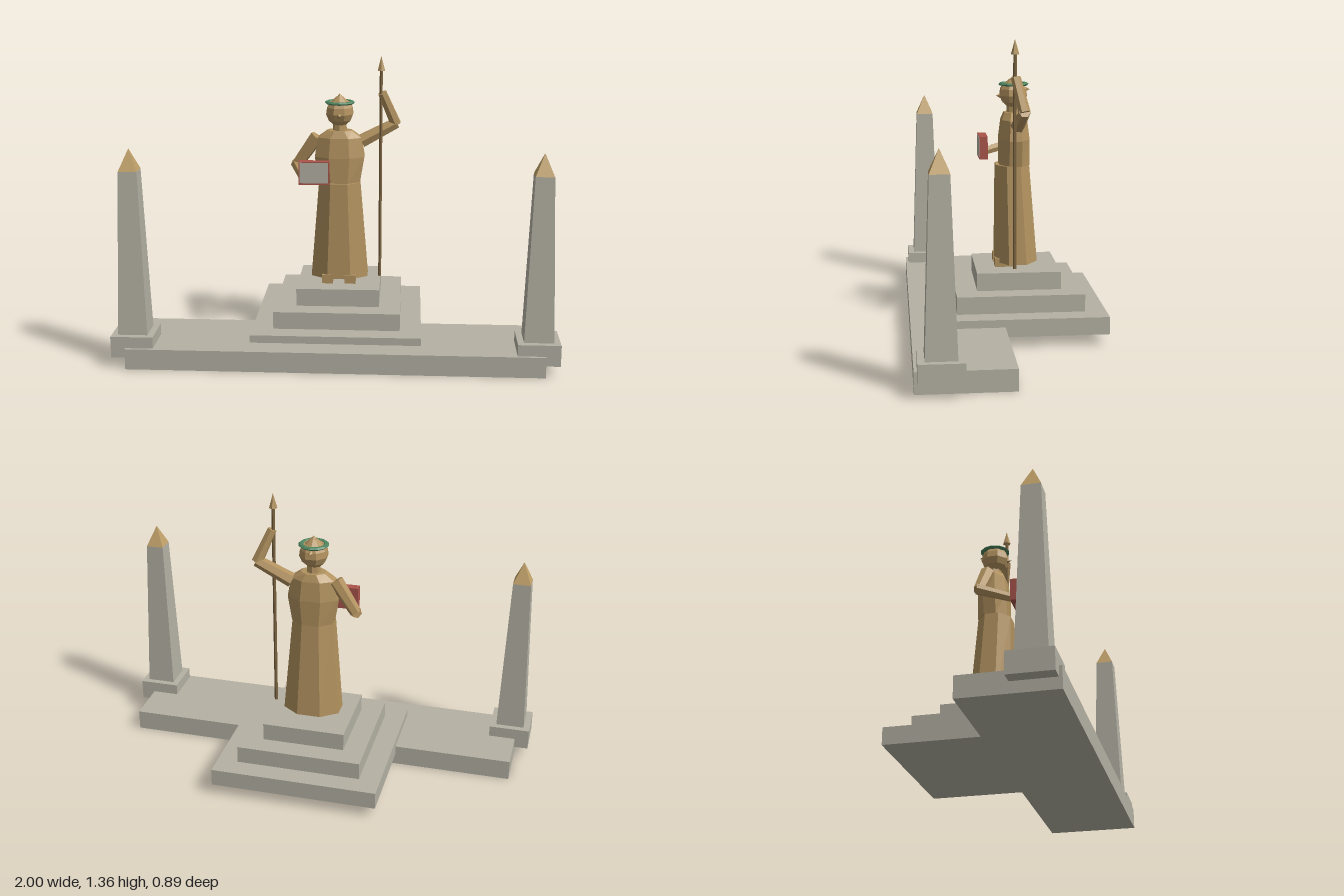
import * as THREE from 'three';

const mat = (name, color) => new THREE.MeshStandardMaterial({ name, color });

export function createModel() {
  const root = new THREE.Group();
  root.name = 'monument';
  const stone = mat('stone', 0xb5b2a4);
  const bronze = mat('bronze', 0xb2925f);
  const darkBronze = mat('dark bronze', 0x7c6440);
  const gold = mat('gold', 0xc0a068);
  const green = mat('patina green', 0x4f8560);
  const red = mat('book red', 0xaa544a);

  const add = (parent, name, geometry, material, x = 0, y = 0, z = 0) => {
    const flat = geometry.index ? geometry.toNonIndexed() : geometry;
    flat.computeVertexNormals();
    const mesh = new THREE.Mesh(flat, material);
    mesh.name = name;
    mesh.position.set(x, y, z);
    parent.add(mesh);
    return mesh;
  };
  // Box given by its bounds
  const box = (parent, name, material, x0, x1, y0, y1, z0, z1) =>
    add(parent, name, new THREE.BoxGeometry(x1 - x0, y1 - y0, z1 - z0), material,
      (x0 + x1) / 2, (y0 + y1) / 2, (z0 + z1) / 2);

  // Octagonal body from rings of [y, half width, half depth, centre z], capped at both ends
  const loft = (rings) => {
    const n = 8, pos = [], idx = [];
    for (const [y, w, d, cz] of rings) {
      for (let i = 0; i < n; i++) {
        const a = (i + 0.5) * Math.PI * 2 / n, k = 1 / Math.cos(Math.PI / n);
        pos.push(Math.sin(a) * w * k, y, cz + Math.cos(a) * d * k);
      }
    }
    for (let r = 0; r < rings.length - 1; r++) {
      for (let i = 0; i < n; i++) {
        const a = r * n + i, b = r * n + (i + 1) % n;
        idx.push(a, b, b + n, a, b + n, a + n);
      }
    }
    const top = (rings.length - 1) * n;
    for (let i = 1; i < n - 1; i++) idx.push(0, i + 1, i, top, top + i, top + i + 1);
    const g = new THREE.BufferGeometry();
    g.setAttribute('position', new THREE.Float32BufferAttribute(pos, 3));
    g.setIndex(idx);
    return g;
  };

  // Six-sided limb between two points
  const limb = (parent, name, from, to, r0, r1) => {
    const a = new THREE.Vector3(...from), b = new THREE.Vector3(...to);
    const dir = b.clone().sub(a);
    const m = add(parent, name, new THREE.CylinderGeometry(r1, r0, dir.length(), 6), bronze);
    m.position.copy(a).add(b).multiplyScalar(0.5);
    m.quaternion.setFromUnitVectors(new THREE.Vector3(0, 1, 0), dir.normalize());
    return m;
  };

  // Plinth and stepped pedestal
  box(root, 'baseSlab', stone, -0.935, 0.935, 0, 0.095, 0.023, 0.443);
  box(root, 'lowerStep', stone, -0.387, 0.387, 0.05, 0.13, -0.445, 0.327);
  box(root, 'middleStep', stone, -0.29, 0.29, 0.13, 0.21, -0.348, 0.233);
  box(root, 'upperStep', stone, -0.192, 0.192, 0.21, 0.292, -0.25, 0.135);

  // Obelisks
  for (const side of [-1, 1]) {
    const ob = new THREE.Group();
    ob.name = side < 0 ? 'rightObelisk' : 'leftObelisk';
    ob.position.set(side * 0.905, 0, 0.333);
    root.add(ob);
    box(ob, 'obeliskBase', stone, -0.095, 0.095, 0.05, 0.147, -0.096, 0.096);
    const half = Math.SQRT1_2;
    const shaft = new THREE.CylinderGeometry(0.083 * half, 0.133 * half, 0.743, 4).rotateY(Math.PI / 4);
    add(ob, 'obeliskShaft', shaft, stone, 0, 0.5185, 0);
    const tip = new THREE.ConeGeometry(0.083 * half, 0.097, 4).rotateY(Math.PI / 4);
    add(ob, 'obeliskTip', tip, gold, 0, 0.9385, 0);
  }

  // Robed figure
  const statue = new THREE.Group();
  statue.name = 'statue';
  root.add(statue);
  add(statue, 'robe', loft([[0.312, 0.132, 0.097, -0.058], [0.767, 0.095, 0.077, -0.042]]), bronze);
  add(statue, 'torso', loft([
    [0.765, 0.095, 0.069, -0.051], [0.885, 0.115, 0.069, -0.051],
    [0.975, 0.1, 0.058, -0.051], [1.008, 0.055, 0.045, -0.051],
  ]), bronze);
  for (const side of [-1, 1]) {
    box(statue, 'foot', bronze, side * 0.053 - 0.025, side * 0.053 + 0.025, 0.292, 0.333, -0.043, 0.043);
  }

  // Head
  add(statue, 'neck', new THREE.CylinderGeometry(0.03, 0.034, 0.06, 8), bronze, 0, 1.02, -0.05);
  add(statue, 'head', loft([
    [1.033, 0.026, 0.026, -0.048], [1.055, 0.05, 0.05, -0.048], [1.085, 0.062, 0.062, -0.048],
    [1.115, 0.058, 0.058, -0.048], [1.14, 0.045, 0.045, -0.048],
  ]), bronze);
  add(statue, 'nose', new THREE.ConeGeometry(0.017, 0.03, 6).rotateX(Math.PI / 2), bronze, 0, 1.083, 0.016);
  add(statue, 'hairKnot', new THREE.ConeGeometry(0.017, 0.03, 6).rotateX(-Math.PI / 2), bronze, 0, 1.112, -0.11);
  const wreath = new THREE.TorusGeometry(0.057, 0.013, 6, 12).rotateX(Math.PI / 2).scale(1, 0.55, 1);
  add(statue, 'wreath', wreath, green, 0, 1.137, -0.05);
  add(statue, 'crown', new THREE.CylinderGeometry(0.016, 0.043, 0.025, 8), bronze, 0, 1.151, -0.05);
  add(statue, 'crownPeak', new THREE.ConeGeometry(0.014, 0.016, 8), bronze, 0, 1.17, -0.05);

  // Arms
  limb(statue, 'rightUpperArm', [-0.105, 0.975, -0.06], [-0.203, 0.835, -0.075], 0.034, 0.027);
  limb(statue, 'rightForearm', [-0.207, 0.84, -0.085], [-0.16, 0.802, 0.066], 0.026, 0.02);
  limb(statue, 'leftUpperArm', [0.1, 0.955, -0.06], [0.262, 1.04, -0.073], 0.034, 0.027);
  limb(statue, 'leftForearm', [0.258, 1.035, -0.073], [0.195, 1.185, -0.04], 0.027, 0.022);

  // Book with a pale front panel
  box(statue, 'bookCover', red, -0.18, -0.04, 0.78, 0.887, 0.066, 0.105);
  box(statue, 'bookPanel', stone, -0.175, -0.045, 0.788, 0.883, 0.104, 0.107);

  // Spear
  add(statue, 'spearShaft', new THREE.CylinderGeometry(0.008, 0.008, 0.985, 6), darkBronze, 0.19, 0.803, -0.037);
  add(statue, 'spearHead', new THREE.ConeGeometry(0.019, 0.068, 6), bronze, 0.19, 1.321, -0.037);

  return root;
}
